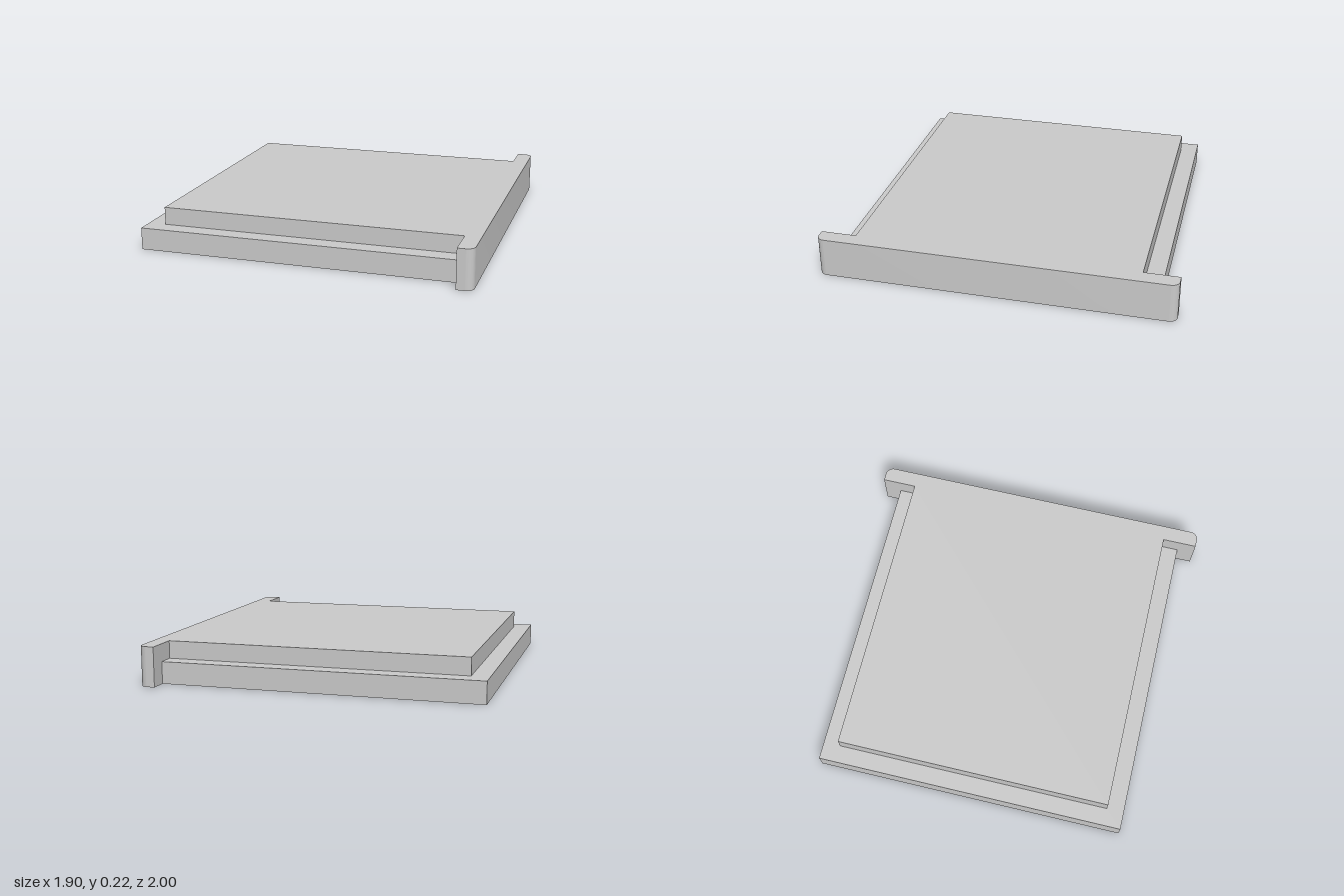
import * as THREE from 'three';
import { toCreasedNormals } from 'three/addons/utils/BufferGeometryUtils.js';

export function createModel() {
  const group = new THREE.Group();
  const material = new THREE.MeshStandardMaterial({ color: 0xcccccc });
  const height = 0.225, step = 0.125;
  const inner = 0.86, outer = 0.95; // end plate faces along x

  const add = (name, geometry) => {
    const mesh = new THREE.Mesh(geometry, material);
    mesh.name = name;
    group.add(mesh);
  };

  // Slab running from x0 to the end plate
  const addSlab = (name, x0, halfDepth, y0, y1) => {
    const slab = new THREE.BoxGeometry(inner - x0, y1 - y0, halfDepth * 2);
    slab.translate((x0 + inner) / 2, (y0 + y1) / 2, 0);
    add(name, slab);
  };
  addSlab('basePanel', -0.95, 0.9, 0, step);
  addSlab('raisedPanel', -0.85, 0.8, step, height);

  // End plate with its two outer vertical edges rounded
  const r = 0.045;
  const outline = new THREE.Shape();
  outline.moveTo(inner, -1);
  outline.lineTo(outer - r, -1);
  outline.absarc(outer - r, -1 + r, r, -Math.PI / 2, 0, false);
  outline.lineTo(outer, 1 - r);
  outline.absarc(outer - r, 1 - r, r, 0, Math.PI / 2, false);
  outline.lineTo(inner, 1);
  outline.closePath();
  const plate = new THREE.ExtrudeGeometry(outline, { depth: height, bevelEnabled: false, curveSegments: 12 });
  plate.rotateX(-Math.PI / 2);
  add('endPlate', toCreasedNormals(plate, 0.6));

  return group;
}
